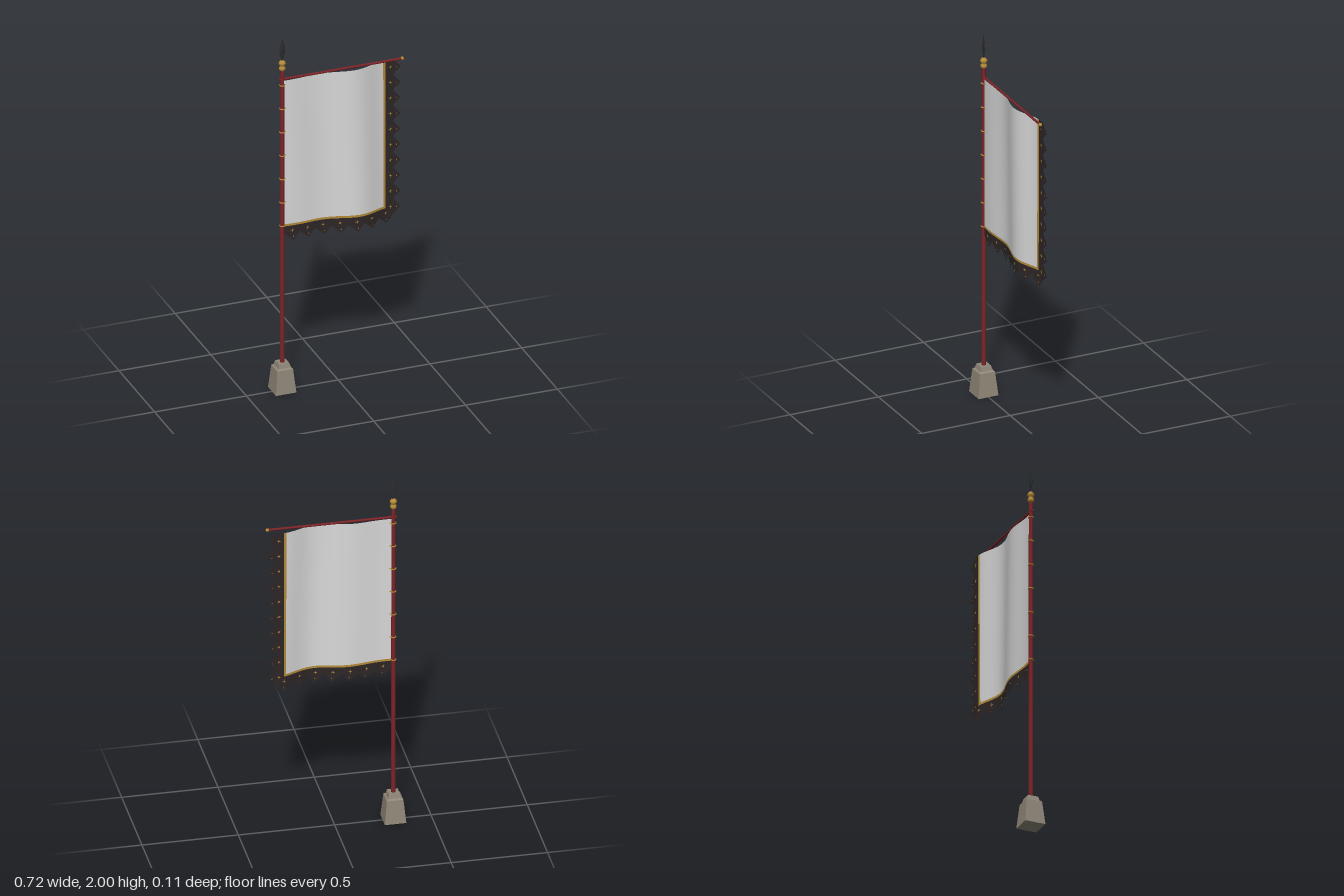
import * as THREE from 'three';

const POLE_X = -0.305, LEFT = -0.295, TOP = 1.755;
const mat = (name, color, extra = {}) => {
  const m = new THREE.MeshStandardMaterial({ color, ...extra });
  m.name = name;
  return m;
};

// Billowing of the cloth: a wave growing away from the pole, with a slight sag
function drape(geo, lift = 0) {
  const p = geo.attributes.position;
  for (let i = 0; i < p.count; i++) {
    const x = p.getX(i), y = p.getY(i);
    const u = Math.max(0, x - LEFT), down = (TOP - y) / 0.83;
    const phase = Math.min(u, 0.585) - 0.065 - 0.025 * down;
    p.setXYZ(i, x, y - 0.022 * down * u,
      -0.055 * u * Math.sin(phase * Math.PI / 0.2) + lift);
  }
  geo.computeVertexNormals();
  return geo;
}

export function createModel() {
  const model = new THREE.Group();
  const stone = mat('stone', 0x8f8778, { flatShading: true });
  const wood = mat('red wood', 0x7c2428);
  const gold = mat('gold', 0xb48c38);
  const iron = mat('dark iron', 0x2c2c2e, { flatShading: true });
  const white = mat('white cloth', 0xd9d9d9, { side: THREE.DoubleSide });
  const dark = mat('dark cloth', 0x2e2627, { side: THREE.DoubleSide });
  const trim = mat('gold trim', 0xb48c38, { side: THREE.DoubleSide });

  const add = (name, geo, material, x = 0, y = 0, z = 0, parent = model) => {
    const m = new THREE.Mesh(geo, material);
    m.name = name;
    m.position.set(x, y, z);
    parent.add(m);
    return m;
  };
  const lathe = (pts, n) =>
    new THREE.LatheGeometry(pts.map(([r, y]) => new THREE.Vector2(r, y)), n);

  // Stepped square foot
  const s = Math.SQRT2;
  const foot = lathe([[0, 0], [0.056 * s, 0], [0.043 * s, 0.13], [0.034 * s, 0.137],
    [0.028 * s, 0.16], [0, 0.16]], 4);
  add('base', foot.rotateY(Math.PI / 4), stone, POLE_X);

  // Pole, crossbar and its end knobs
  add('pole', new THREE.CylinderGeometry(0.0105, 0.012, 1.68, 12), wood, POLE_X, 0.99);
  add('crossbar', new THREE.CylinderGeometry(0.0065, 0.0065, 0.67, 10).rotateZ(Math.PI / 2),
    wood, 0.012, 1.765);
  add('crossbarKnob', new THREE.SphereGeometry(0.0095, 12, 8), gold, 0.349, 1.765);

  // Turned collar and flat leaf-shaped spearhead
  add('collar', lathe([[0, 1.815], [0.011, 1.815], [0.017, 1.823], [0.017, 1.832], [0.011, 1.839],
    [0.012, 1.846], [0.019, 1.853], [0.017, 1.862], [0.009, 1.872], [0, 1.873]], 16), gold, POLE_X);
  const spear = lathe([[0, 1.868], [0.007, 1.87], [0.008, 1.885], [0.0165, 1.925],
    [0.014, 1.95], [0.007, 1.98], [0, 2]], 8);
  add('spearhead', spear.scale(1, 1, 0.3), iron, POLE_X);

  // Rings tying the cloth to the pole
  for (let i = 0; i < 7; i++) {
    const ring = new THREE.TorusGeometry(0.0125, 0.0032, 6, 14).rotateX(Math.PI / 2);
    add('ring', ring, gold, POLE_X, 0.933 + i * 0.133);
    add('ringTie', new THREE.BoxGeometry(0.012, 0.004, 0.003), gold, -0.29, 0.933 + i * 0.133);
  }

  // Banner panels, cut from one draped sheet
  const banner = new THREE.Group();
  banner.name = 'banner';
  model.add(banner);
  const panel = (name, x0, x1, y0, y1, material, nx, ny) => {
    const g = new THREE.PlaneGeometry(x1 - x0, y1 - y0, nx, ny);
    g.translate((x0 + x1) / 2, (y0 + y1) / 2, 0);
    add(name, drape(g), material, 0, 0, 0, banner);
  };
  panel('clothField', LEFT, 0.257, 0.938, TOP, white, 48, 16);
  panel('bottomTrim', LEFT, 0.257, 0.926, 0.938, trim, 48, 1);
  panel('sideTrim', 0.257, 0.27, 0.926, TOP, trim, 2, 16);
  panel('bottomBorder', LEFT, 0.27, 0.886, 0.926, dark, 48, 2);
  panel('sideBorder', 0.27, 0.311, 0.886, TOP, dark, 4, 16);

  // Pointed teeth; (ax, ay)-(bx, by) is the root edge, (tx, ty) the tip
  const tooth = (ax, ay, bx, by, tx, ty) => {
    const shape = new THREE.Shape();
    const mx = (ax + bx) / 2, my = (ay + by) / 2;
    shape.moveTo(ax, ay).lineTo(mx, my).lineTo(bx, by).lineTo(tx, ty);
    add('tooth', drape(new THREE.ShapeGeometry(shape)), dark, 0, 0, 0, banner);
  };
  // Small four-petalled ornament on both faces of the border
  const ornament = (x, y, r) => {
    const shape = new THREE.Shape();
    for (let k = 0; k < 8; k++) {
      const a = k * Math.PI / 4, q = k % 2 ? r * 0.3 : r;
      shape[k ? 'lineTo' : 'moveTo'](x + q * Math.cos(a), y + q * Math.sin(a));
    }
    for (const lift of [0.0015, -0.0015])
      add('ornament', drape(new THREE.ShapeGeometry(shape), lift), trim, 0, 0, 0, banner);
  };

  const across = (0.311 - LEFT) / 7;
  for (let i = 0; i < 7; i++) {
    const x = LEFT + i * across, mid = x + across / 2;
    tooth(x, 0.886, x + across, 0.886, mid + 0.008, 0.842);
    ornament(mid, 0.9, 0.011);
    ornament(mid + 0.006, 0.864, 0.005);
  }
  const along = (TOP - 0.886) / 10;
  for (let i = 0; i < 10; i++) {
    const y = TOP - i * along, mid = y - along / 2;
    tooth(0.311, y, 0.311, y - along, 0.353, mid - 0.006);
    ornament(0.296, mid, 0.011);
    ornament(0.332, mid - 0.004, 0.005);
  }
  return model;
}
